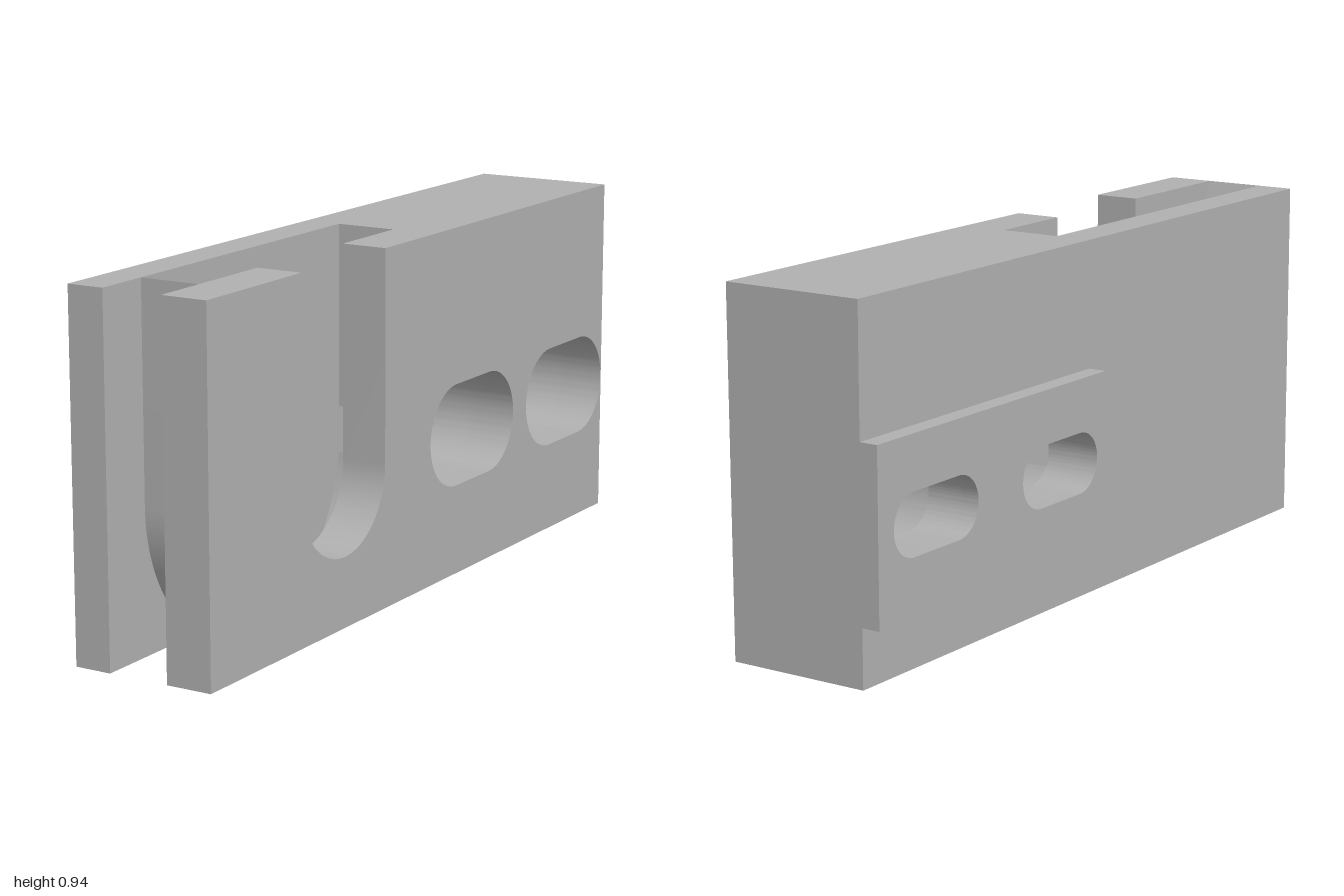
import * as THREE from 'three';
import { toCreasedNormals } from 'three/addons/utils/BufferGeometryUtils.js';

const H = 0.935, CY = 0.38;   // block height, height of all slot centres
const R = 0.1375;             // radius of the wide slots
const Q = Math.PI / 2;

// Profiles are drawn with u = -z across and y up, then extruded along +x.
function polygon(points) {
  return new THREE.Shape(points.map(([u, y]) => new THREE.Vector2(u, y)));
}

// Round-ended slot between two arc centres
function slot(u0, u1, r) {
  const p = new THREE.Path();
  p.absarc(u1, CY, r, -Q, Q, false);
  p.absarc(u0, CY, r, Q, 3 * Q, false);
  p.closePath();
  return p;
}

export function createModel() {
  const group = new THREE.Group();
  const grey = new THREE.MeshStandardMaterial({ color: 0xb0b0b0 });
  grey.name = 'grey';

  function layer(name, shape, x0, x1) {
    const geo = new THREE.ExtrudeGeometry(shape, { depth: x1 - x0, bevelEnabled: false, curveSegments: 28 });
    geo.rotateY(Q);
    geo.translate(x0, 0, 0);
    const mesh = new THREE.Mesh(toCreasedNormals(geo, 0.5), grey);
    mesh.name = name;
    group.add(mesh);
  }

  const narrowSlots = () => [slot(0.155, 0.33, 0.08), slot(0.68, 0.86, 0.08)];

  // Raised rectangular pad on the left-hand outside
  const pad = polygon([[0.0375, 0.153], [1, 0.153], [1, 0.6], [0.0375, 0.6]]);
  pad.holes = narrowSlots();
  layer('mountingPad', pad, -0.22, -0.17);

  // Solid wall with the narrow screw slots
  const wall = polygon([[-1, 0], [1, 0], [1, H], [-1, H]]);
  wall.holes = narrowSlots();
  layer('backWall', wall, -0.17, -0.07);

  // Middle layer: wide pocket, round at the bottom and breaking through the base
  const cu = -0.405, pocketR = 0.4425;
  const low = Math.asin(CY / pocketR);
  const front = new THREE.Shape();
  front.moveTo(-1, 0);
  front.absarc(cu, CY, pocketR, Math.PI + low, Math.PI, true);
  front.lineTo(cu - pocketR, H);
  front.lineTo(-1, H);
  front.closePath();
  layer('pocketFrontBlock', front, -0.07, 0.095);

  // Rear part of the middle layer; the first wide slot just meets the pocket
  const rear = new THREE.Shape();
  rear.moveTo(1, 0);
  rear.lineTo(1, H);
  rear.lineTo(0.0375, H);
  rear.absarc(0.1575, CY, R, 2.632, Q, true);
  rear.absarc(0.3325, CY, R, Q, -Q, true);
  rear.absarc(0.1575, CY, R, -Q, -2.698, true);
  rear.absarc(cu, CY, pocketR, -0.134, -low, true);
  rear.closePath();
  rear.holes = [slot(0.6825, 0.861, R)];
  layer('pocketRearBlock', rear, -0.07, 0.095);

  // Outer face with the U-shaped neck and both wide slots
  const face = new THREE.Shape();
  face.moveTo(-1, 0);
  face.lineTo(1, 0);
  face.lineTo(1, H);
  face.lineTo(cu + 0.195, H);
  face.absarc(cu, CY, 0.195, 0, -Math.PI, true);
  face.lineTo(cu - 0.195, H);
  face.lineTo(-1, H);
  face.closePath();
  face.holes = [slot(0.1575, 0.3325, R), slot(0.6825, 0.861, R)];
  layer('slottedFace', face, 0.095, 0.22);

  return group;
}
